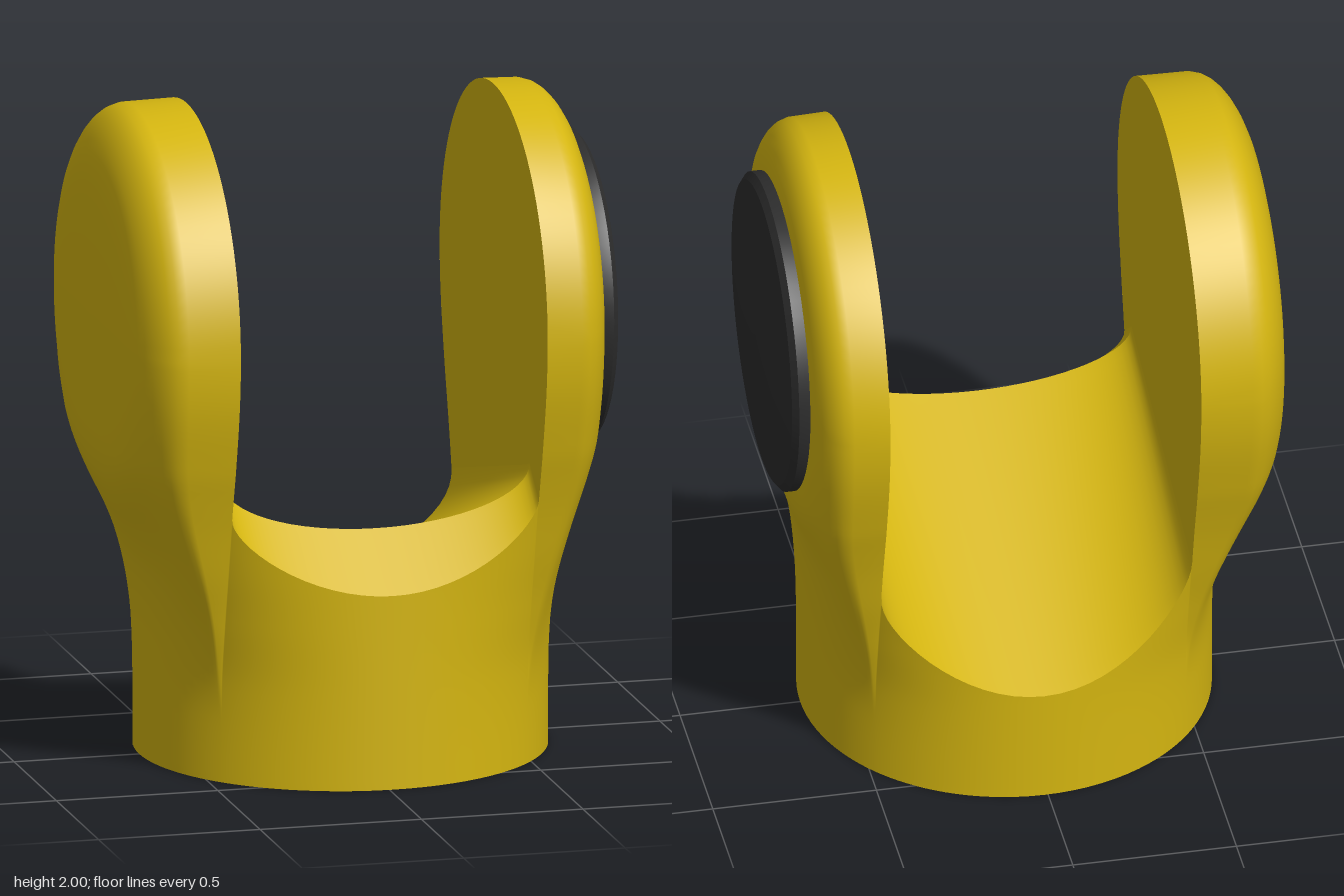
import * as THREE from 'three';
import { mergeGeometries, mergeVertices } from 'three/addons/utils/BufferGeometryUtils.js';

const CX = 0.01;      // centre of the fork in x
const R = 0.623;      // base radius
const GAP = 0.475;    // half width of the slot
const HUB = 1.36;     // height of the ear centres
const EAR = 0.64;     // ear radius
const K = 16, ROWS = 48;
const W0 = Math.sqrt(R * R - GAP * GAP);
const { lerp, smoothstep } = THREE.MathUtils;

// Smooth curve through a few [t, value] points
function curve(p) {
  const slope = (i) => {
    const a = p[Math.max(i - 1, 0)], b = p[Math.min(i + 1, p.length - 1)];
    return i === 0 || i === p.length - 1 ? 0 : (b[1] - a[1]) / (b[0] - a[0]);
  };
  return (t) => {
    if (t <= p[0][0]) return p[0][1];
    if (t >= p[p.length - 1][0]) return p[p.length - 1][1];
    let i = 0;
    while (t > p[i + 1][0]) i++;
    const h = p[i + 1][0] - p[i][0], u = (t - p[i][0]) / h, u2 = u * u, u3 = u2 * u;
    return p[i][1] * (2 * u3 - 3 * u2 + 1) + p[i + 1][1] * (3 * u2 - 2 * u3)
      + h * slope(i) * (u3 - 2 * u2 + u) + h * slope(i + 1) * (u3 - u2);
  };
}

// Half depth of the body where the slot walls meet the outside, by height
const halfDepth = curve([[0, W0], [0.3, 0.41], [0.5, 0.45], [0.65, 0.488], [0.8, 0.525],
  [0.9, 0.553], [1.0, 0.582], [1.2, 0.627], [HUB, EAR]]);

// Outer reach of each ear by distance from its centre, and how square its rim is
const ears = {
  1: { n: 6, reach: curve([[0, 0.7], [0.48, 0.696], [0.56, 0.69], [0.66, 0.665], [0.76, 0.645], [0.9, 0.63], [1, 0.623]]) },
  [-1]: { n: 8, reach: curve([[0, 0.78], [0.3, 0.776], [0.48, 0.765], [0.56, 0.745], [0.66, 0.705], [0.76, 0.67], [0.9, 0.638], [1, 0.623]]) },
};

function earX(side, q, r, y) {
  const { n, reach } = ears[side];
  const rim = Math.pow(Math.max(0, 1 - Math.pow(Math.abs(q), n)), 1 / n);
  const lobe = GAP + (reach(r) - GAP) * rim;
  const round = Math.sqrt(R * R - (q * W0) ** 2);
  return CX + side * lerp(round, lobe, smoothstep(y, 0.2, 1.0));
}

// Slot floor: slopes down to the back, chamfered at the front, filleted at the walls
const RIDGE = 0.425;
function floorY(x, z) {
  const base = z > RIDGE ? lerp(0.76, 0.6, (z - RIDGE) / 0.195) : lerp(0.36, 0.76, (z + 0.623) / (RIDGE + 0.623));
  const fillet = lerp(0.3, 0.17, THREE.MathUtils.clamp((z + 0.6) / 1.0, 0, 1));
  return base + fillet * (1 - Math.sqrt(Math.max(0, 1 - (x / GAP) ** 2)));
}
const wallZ = (x, y) => Math.sqrt(R * R - x * x) + (halfDepth(y) - W0) * (x / GAP) ** 2;

// Where the floor runs out through the front (1) or back (-1) wall
function floorEdge(x, dir) {
  let z = dir * 0.55;
  for (let i = 0; i < 30; i++) z = lerp(z, dir * wallZ(x, floorY(x, z)), 0.6);
  return z;
}

// Grid surface from a rule
function patch(nu, nv, rule, flip) {
  const pos = [], idx = [];
  for (let j = 0; j <= nv; j++) for (let i = 0; i <= nu; i++) pos.push(...rule(i, j));
  for (let j = 0; j < nv; j++) for (let i = 0; i < nu; i++) {
    const a = j * (nu + 1) + i, b = a + 1, d = a + nu + 1, c = d + 1;
    if (flip) idx.push(a, c, b, a, d, c);
    else idx.push(a, b, c, a, c, d);
  }
  const g = new THREE.BufferGeometry();
  g.setAttribute('position', new THREE.Float32BufferAttribute(pos, 3));
  g.setIndex(idx);
  return g;
}
function smooth(list) {
  const g = mergeVertices(mergeGeometries(list), 1e-4);
  g.computeVertexNormals();
  return g;
}

export function createModel() {
  const group = new THREE.Group();
  const yellow = new THREE.MeshStandardMaterial({ color: 0xd4b510, side: THREE.DoubleSide });
  yellow.name = 'yellow';
  const black = new THREE.MeshStandardMaterial({ color: 0x2c2c2c });
  black.name = 'black';
  const add = (name, geometry, material = yellow) => {
    const m = new THREE.Mesh(geometry, material);
    m.name = name;
    group.add(m);
    return m;
  };

  const spread = (i) => Math.sin(((i - K) / K) * Math.PI / 2); // -1..1, denser at the ends
  const rowY = (j) => HUB * (1 - j / ROWS);

  // Outer shell: ears, flanks, front and back walls
  const shell = [];
  for (const s of [1, -1]) {
    shell.push(patch(2 * K, ROWS, (i, j) => {
      const q = spread(i), y = rowY(j), z = q * halfDepth(y);
      return [earX(s, q, Math.hypot(z, y - HUB), y), y, z];
    }, s < 0));
    shell.push(patch(K, 48, (i, j) => {
      const q = spread(i + K), a = (j / 48) * Math.PI, r = q * EAR;
      return [earX(s, q, r, HUB), HUB + r * Math.sin(a), r * Math.cos(a)];
    }, s > 0));
    shell.push(patch(2 * K, ROWS, (i, j) => {
      const x = GAP * spread(i);
      const y = Math.min(rowY(j), floorY(x, floorEdge(x, s)));
      return [CX + x, y, s * wallZ(x, y)];
    }, s > 0));
  }
  add('forkBody', smooth(shell));

  // Slot floor and its front chamfer
  add('slotFloor', smooth([patch(2 * K, 24, (i, j) => {
    const x = GAP * spread(i), z = lerp(floorEdge(x, -1), RIDGE, j / 24);
    return [CX + x, floorY(x, z), z];
  }, true)]));
  add('slotChamfer', smooth([patch(2 * K, 6, (i, j) => {
    const x = GAP * spread(i), z = lerp(RIDGE + 1e-6, floorEdge(x, 1), j / 6);
    return [CX + x, floorY(x, z), z];
  }, true)]));

  // Flat inner faces of the ears
  const zb = floorEdge(GAP, -1), zf = floorEdge(GAP, 1);
  const yb = floorY(GAP, zb), yf = floorY(GAP, zf);
  const outline = [];
  for (let i = 0; i <= 20; i++) {
    const z = lerp(zb, zf, i / 20);
    outline.push(new THREE.Vector2(z, floorY(GAP, z)));
  }
  for (let i = 1; i < 16; i++) {
    const y = lerp(yf, HUB, i / 16);
    outline.push(new THREE.Vector2(halfDepth(y), y));
  }
  for (let i = 0; i <= 48; i++) {
    const a = (i / 48) * Math.PI;
    outline.push(new THREE.Vector2(EAR * Math.cos(a), HUB + EAR * Math.sin(a)));
  }
  for (let i = 15; i > 0; i--) {
    const y = lerp(yb, HUB, i / 16);
    outline.push(new THREE.Vector2(-halfDepth(y), y));
  }
  for (const s of [1, -1]) {
    const face = add(s > 0 ? 'leftInnerFace' : 'rightInnerFace', new THREE.ShapeGeometry(new THREE.Shape(outline)));
    face.rotation.y = -Math.PI / 2;
    face.position.x = CX + s * GAP;
  }

  // Underside with a small blind hole
  const base = add('underside', new THREE.RingGeometry(0.04, R, 64));
  base.rotation.x = Math.PI / 2;
  base.position.x = CX;
  const hole = add('pinHole', new THREE.CylinderGeometry(0.04, 0.04, 0.3, 24, 1, true));
  hole.position.set(CX, 0.15, 0);
  const holeEnd = add('pinHoleEnd', new THREE.CircleGeometry(0.04, 24));
  holeEnd.rotation.x = Math.PI / 2;
  holeEnd.position.set(CX, 0.3, 0);

  // Domed cover on the left ear: rim, bevel and dome kept crisp
  const profile = [[0.47, 0.66], [0.484, 0.7], [0.484, 0.732], [0.462, 0.75], [0.25, 0.766], [0, 0.77]];
  const cover = new THREE.Group();
  cover.name = 'earCover';
  const parts = [['coverRim', profile.slice(0, 3)], ['coverBevel', profile.slice(2, 4)], ['coverDome', profile.slice(3)]];
  for (const [name, pts] of parts) {
    const m = new THREE.Mesh(new THREE.LatheGeometry(pts.map((p) => new THREE.Vector2(...p)), 64), black);
    m.name = name;
    cover.add(m);
  }
  cover.rotation.z = -Math.PI / 2;
  cover.position.y = 1.365;
  group.add(cover);

  return group;
}
